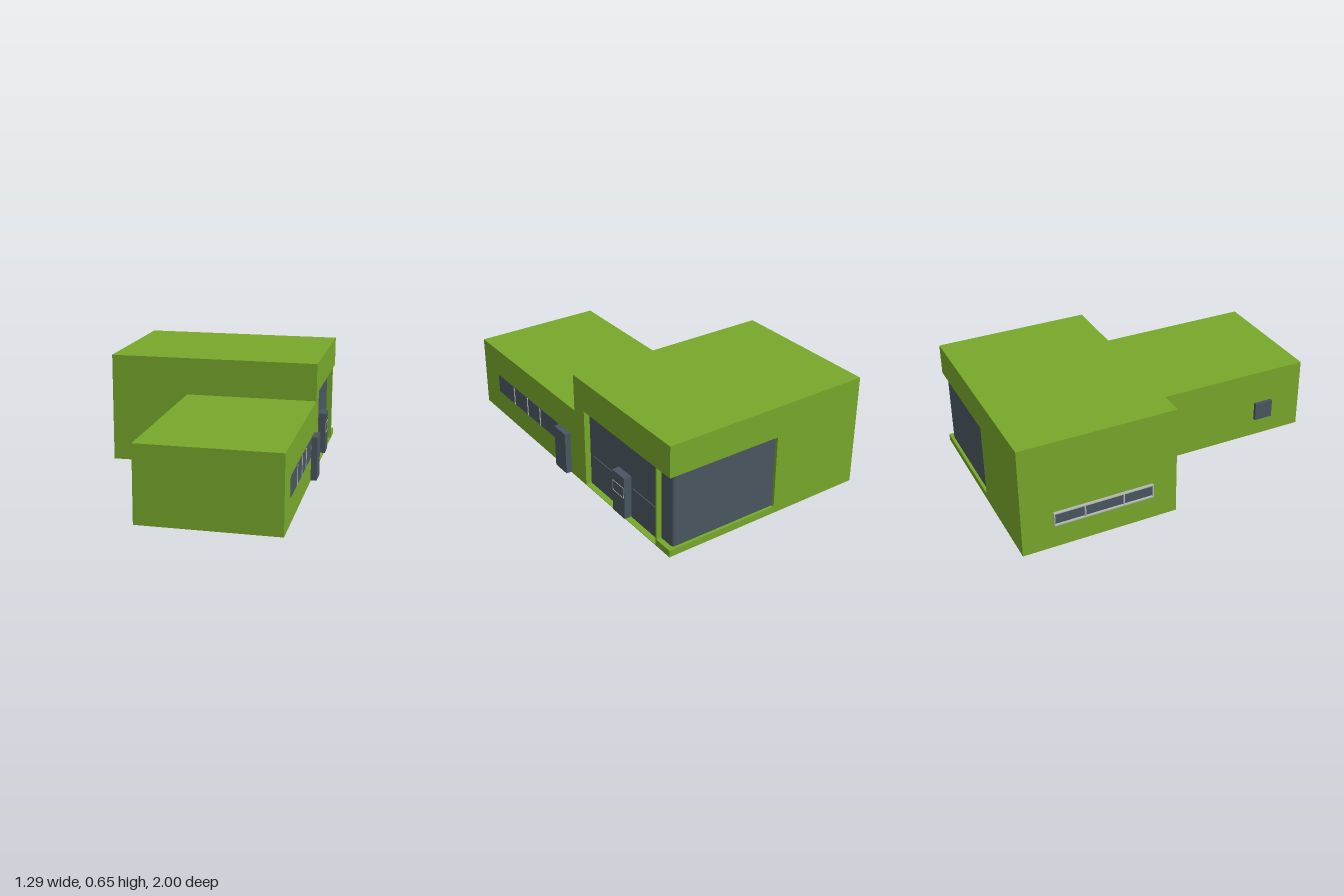
import * as THREE from 'three';

const green = new THREE.MeshStandardMaterial({ color: 0x78a82b });
const dark = new THREE.MeshStandardMaterial({ color: 0x4a5660 });
const darkThin = new THREE.MeshStandardMaterial({ color: 0x4a5660, side: THREE.DoubleSide });
const light = new THREE.MeshStandardMaterial({ color: 0xb4b8b4 });

export function createModel() {
  const model = new THREE.Group();

  const add = (name, geometry, material) => {
    const mesh = new THREE.Mesh(geometry, material);
    mesh.name = name;
    model.add(mesh);
    return mesh;
  };

  // Box given by its limits on each axis
  const box = (name, material, x0, x1, y0, y1, z0, z1) => {
    const mesh = add(name, new THREE.BoxGeometry(x1 - x0, y1 - y0, z1 - z0), material);
    mesh.position.set((x0 + x1) / 2, (y0 + y1) / 2, (z0 + z1) / 2);
    return mesh;
  };

  // Wall layer extruded upwards from an (x, z) footprint
  const layer = (name, points, y0, y1) => {
    const shape = new THREE.Shape(points.map(([x, z]) => new THREE.Vector2(x, -z)));
    const geometry = new THREE.ExtrudeGeometry(shape, { depth: y1 - y0, bevelEnabled: false });
    geometry.rotateX(-Math.PI / 2).translate(0, y0, 0);
    add(name, geometry, green);
  };

  // Tall hall: floor, sill with entrance notch, walls with entrance and corner notches, roof
  const entrance = [[-0.63, -0.1], [0.61, -0.1], [0.61, -0.2], [0.56, -0.2], [0.56, -0.877], [0.61, -0.877]];
  box('hallFloor', green, -0.63, 0.61, 0, 0.003, -1, -0.1);
  layer('hallSill', [...entrance, [0.61, -1], [-0.63, -1]], 0.003, 0.04);
  layer('hallWalls', [...entrance, [0.61, -0.887], [0.55, -0.887], [0.55, -0.955],
    [-0.07, -0.955], [-0.07, -1], [-0.63, -1]], 0.04, 0.47);
  box('hallRoof', green, -0.63, 0.61, 0.47, 0.65, -1, -0.1);

  // Low wing
  box('wing', green, -0.165, 0.61, 0, 0.43, -0.1, 1);

  // Corner window: one sheet bent round the rear corner
  const path = new THREE.CurvePath();
  const v = (x, z) => new THREE.Vector3(x, 0, z);
  path.add(new THREE.LineCurve3(v(-0.07, -0.983), v(0.56, -0.983)));
  path.add(new THREE.QuadraticBezierCurve3(v(0.56, -0.983), v(0.58, -0.983), v(0.58, -0.963)));
  path.add(new THREE.LineCurve3(v(0.58, -0.963), v(0.58, -0.887)));
  const outline = path.curves.flatMap((c, i) => c.getPoints(i === 1 ? 8 : 1).slice(i ? 1 : 0));
  const sheet = new THREE.PlaneGeometry(1, 1, outline.length - 1, 1);
  const pos = sheet.attributes.position;
  for (let i = 0; i < pos.count; i++) {
    const p = outline[i % outline.length];
    pos.setXYZ(i, p.x, i < outline.length ? 0.47 : 0.04, p.z);
  }
  // Flip the winding so the sheet faces outwards
  const index = sheet.index.array;
  for (let i = 0; i < index.length; i += 3) [index[i], index[i + 1]] = [index[i + 1], index[i]];
  sheet.computeVertexNormals();
  add('cornerWindow', sheet, darkThin);

  // Entrance glazing with two rails, and the projecting door
  box('entranceGlazing', dark, 0.56, 0.575, 0.003, 0.47, -0.877, -0.2);
  for (const [z0, z1] of [[-0.47, -0.235], [-0.855, -0.62]]) {
    box('entranceRailPanel', dark, 0.575, 0.581, 0.135, 0.195, z0, z1);
  }
  box('entranceDoor', dark, 0.575, 0.62, 0.008, 0.26, -0.605, -0.49);
  for (const y of [0.135, 0.197]) {
    box('doorWindowBar', light, 0.618, 0.622, y, y + 0.003, -0.6, -0.495);
  }
  for (const z of [-0.6, -0.498]) {
    box('doorWindowPost', light, 0.618, 0.622, 0.135, 0.2, z, z + 0.003);
  }

  // Wing door and strip window on the left side
  box('wingDoor', dark, 0.6, 0.645, 0.005, 0.26, -0.042, 0.075);
  box('wingWindow', dark, 0.6, 0.612, 0.145, 0.26, 0.095, 0.82);
  for (const z of [0.3, 0.45, 0.615]) {
    box('wingWindowMullion', light, 0.605, 0.616, 0.145, 0.26, z - 0.003, z + 0.003);
  }

  // Small box on the right wall of the wing
  box('wallBox', dark, -0.186, -0.16, 0.115, 0.225, 0.683, 0.797);

  // Framed strip window on the right wall of the hall
  box('hallWindow', dark, -0.634, -0.62, 0.147, 0.222, -0.82, -0.247);
  for (const y of [0.145, 0.219]) {
    box('hallWindowRail', light, -0.647, -0.625, y, y + 0.006, -0.822, -0.245);
  }
  for (const z of [-0.819, -0.645, -0.42, -0.248]) {
    box('hallWindowPost', light, -0.646, -0.625, 0.147, 0.223, z - 0.003, z + 0.003);
  }

  return model;
}
